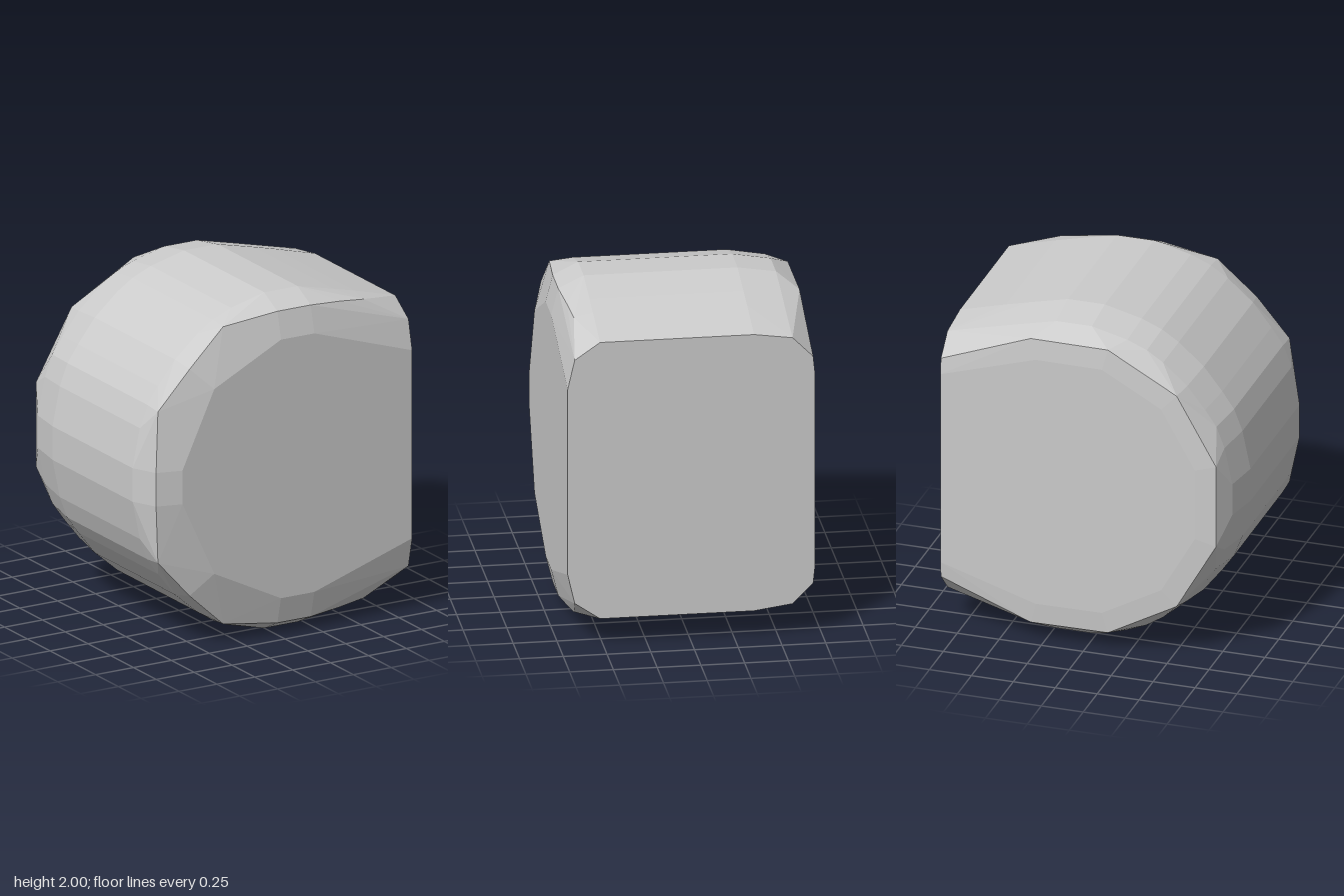
import * as THREE from 'three';
import { ConvexGeometry } from 'three/addons/geometries/ConvexGeometry.js';

const FLAT_X = 0.865; // plane of the flat cut side

// Upper half outlines as [x, height above the middle, z], mirrored downwards
const drum = [
  [FLAT_X, 0.835], [0.59, 0.91], [0.45, 0.945], [0.22, 1], [0, 1], [-0.22, 0.945], [-0.34, 0.895],
  [-0.44, 0.83], [-0.59, 0.70], [-0.70, 0.56], [-0.77, 0.46], [-0.82, 0.33], [-0.868, 0.10],
];
const frontBevel = [
  [FLAT_X, 0.735, 0.665], [0.59, 0.89, 0.63], [0.43, 0.91, 0.645], [0.22, 0.928, 0.665], [0, 0.928, 0.665],
  [-0.34, 0.885, 0.635], [-0.57, 0.675, 0.65], [-0.77, 0.45, 0.635], [-0.80, 0.10, 0.665],
];
const frontCap = [
  [FLAT_X, 0.56, 0.705], [0.22, 0.77, 0.705], [0, 0.77, 0.705], [-0.44, 0.55, 0.705], [-0.65, 0.10, 0.705],
];
const backBevel = [
  [FLAT_X, 0.685, -0.698], [0.33, 0.89, -0.698], [-0.13, 0.887, -0.698], [-0.54, 0.66, -0.698], [-0.775, 0.25, -0.698],
];

// Copy an outline to depth z, shrunk about the drum axis; the cut side stays flat
const slice = (outline, z, scale = 1) =>
  outline.map(([x, h]) => [x === FLAT_X ? x : 0.1 + (x - 0.1) * scale, h * scale, z]);

export function createModel() {
  const group = new THREE.Group();
  group.name = 'cutDrum';

  const rings = [
    frontCap, frontBevel,
    slice(drum, 0.52), slice(drum, -0.36),
    slice(drum, -0.58, 0.963),
    backBevel, slice(backBevel, -0.708, 0.86),
  ];
  const points = rings.flat().flatMap(([x, h, z]) =>
    [1, -1].map((side) => new THREE.Vector3(x, 1 + side * h, z)));

  // Faceted convex body
  const body = new THREE.Mesh(
    new ConvexGeometry(points),
    new THREE.MeshStandardMaterial({ color: 0xcccccc, flatShading: true }),
  );
  body.name = 'body';
  group.add(body);
  return group;
}
